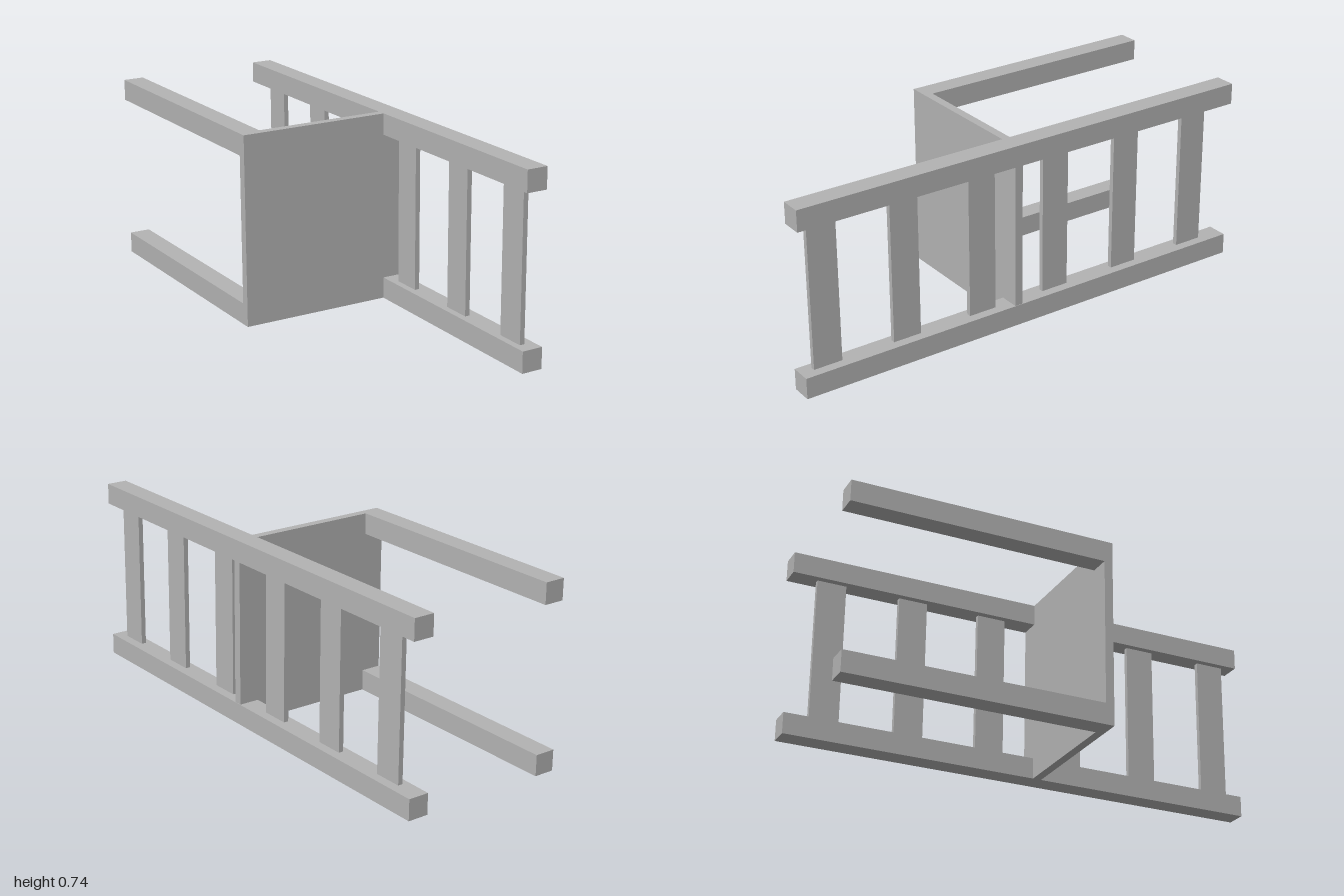
import * as THREE from 'three';

export function createModel() {
  const grey = new THREE.MeshStandardMaterial({ color: 0xb3b3b3 });
  grey.name = 'plain grey';

  // The chair lies on its side: x runs along its height, y across its width, z from back to front.
  const chair = new THREE.Group();
  chair.name = 'chair';
  const half = 0.364;  // half the chair's width
  const beam = 0.082;  // thickness of posts and legs

  // Box between two values on each axis
  const box = (name, x0, x1, y0, y1, z0, z1) => {
    const mesh = new THREE.Mesh(new THREE.BoxGeometry(x1 - x0, y1 - y0, z1 - z0), grey);
    mesh.name = name;
    mesh.position.set((x0 + x1) / 2, (y0 + y1) / 2, (z0 + z1) / 2);
    chair.add(mesh);
  };

  // Long back posts and short front legs on both sides
  for (const [side, y0] of [['lower', -half], ['upper', half - beam]]) {
    box(side + 'BackPost', -0.942, 0.967, y0, y0 + beam, -0.257, -0.175);
    box(side + 'FrontLeg', -0.938, 0.06, y0, y0 + beam, 0.333, 0.414);
  }

  // Seat panel, running back between the posts
  box('seat', 0.047, 0.08, -half, half, -0.255, 0.414);

  // Thin slats joining the back posts
  for (let i = 0; i < 6; i++) {
    const x = -0.782 + i * 0.328;
    box('slat' + (i + 1), x - 0.057, x + 0.057, -half + beam, half - beam, -0.22, -0.201);
  }

  // Turned on the ground, with a very slight lean
  chair.rotation.set(0.009, -0.189, 0);
  chair.position.y = half + 0.004;

  const model = new THREE.Group();
  model.name = 'fallenChair';
  model.add(chair);
  return model;
}
